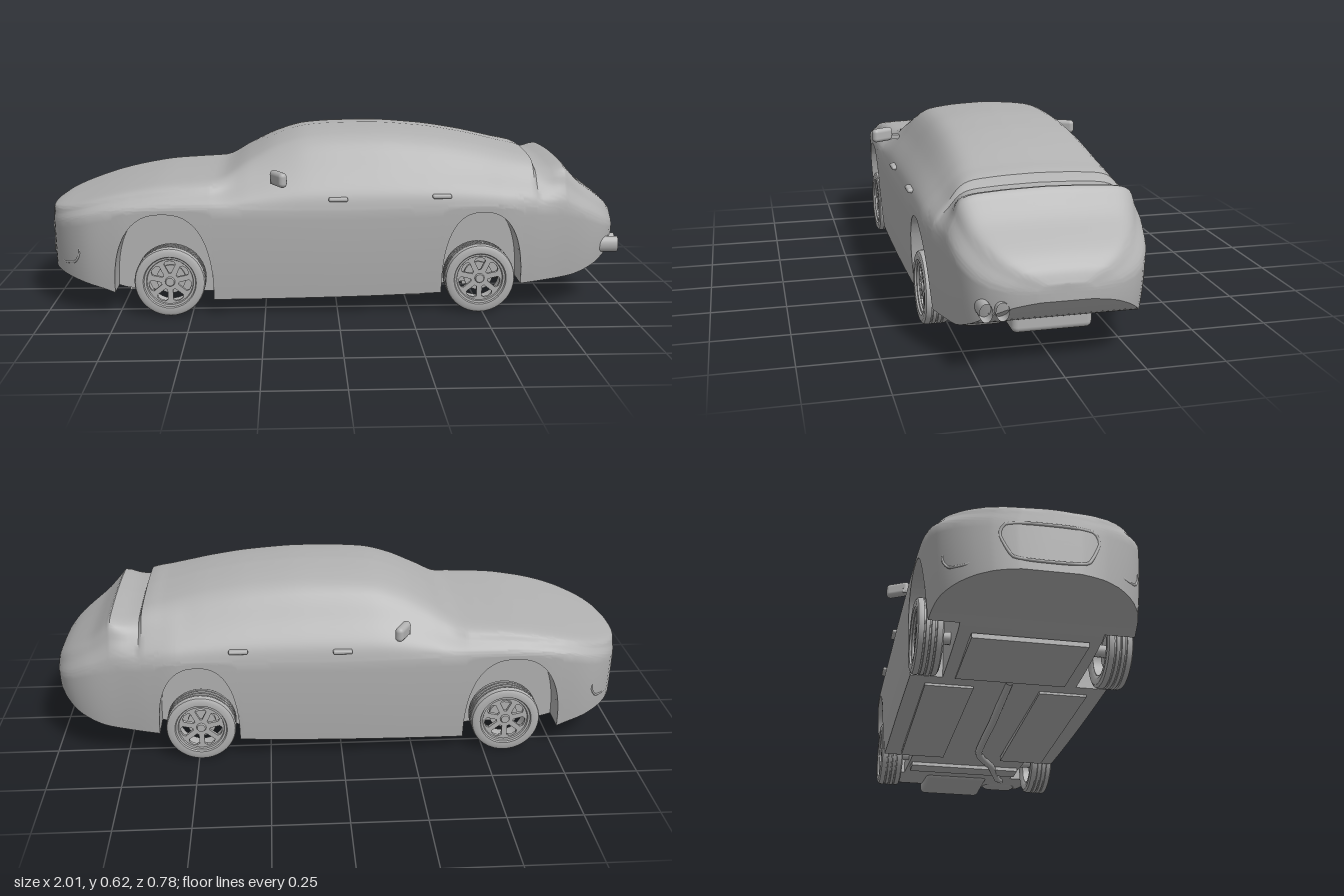
import * as THREE from 'three';
import { toCreasedNormals } from 'three/addons/utils/BufferGeometryUtils.js';
import { RoundedBoxGeometry } from 'three/addons/geometries/RoundedBoxGeometry.js';

const grey = new THREE.MeshStandardMaterial({ color: 0xb2b2b2, side: THREE.DoubleSide });
grey.name = 'primer grey';

const lerp = THREE.MathUtils.lerp;

// Smooth monotone interpolation through [x, value] pairs
function smooth(pts) {
  const d = pts.slice(1).map((p, i) => (p[1] - pts[i][1]) / (p[0] - pts[i][0]));
  const m = pts.map((p, i) => {
    if (i === 0) return d[0];
    if (i === pts.length - 1) return d[i - 1];
    return d[i - 1] * d[i] <= 0 ? 0 : (2 * d[i - 1] * d[i]) / (d[i - 1] + d[i]);
  });
  return (x) => {
    let i = 0;
    while (i < pts.length - 2 && x > pts[i + 1][0]) i++;
    const h = pts[i + 1][0] - pts[i][0];
    const t = THREE.MathUtils.clamp((x - pts[i][0]) / h, 0, 1);
    const t2 = t * t, t3 = t2 * t;
    return (2 * t3 - 3 * t2 + 1) * pts[i][1] + (t3 - 2 * t2 + t) * h * m[i]
      + (3 * t2 - 2 * t3) * pts[i + 1][1] + (t3 - t2) * h * m[i + 1];
  };
}

// Body lines along the length: nose at -x, tail at +x
const topY = smooth([[-1, 0.345], [-0.97, 0.36], [-0.9, 0.382], [-0.8, 0.41], [-0.7, 0.433], [-0.6, 0.45],
  [-0.5, 0.458], [-0.41, 0.466], [-0.3, 0.528], [-0.2, 0.58], [-0.1, 0.608], [0, 0.615], [0.12, 0.617],
  [0.3, 0.605], [0.45, 0.582], [0.6, 0.547], [0.675, 0.528], [0.685, 0.5], [0.72, 0.498], [0.78, 0.512],
  [0.795, 0.495], [0.85, 0.435], [0.9, 0.398], [0.95, 0.36], [0.985, 0.32], [1, 0.285]]);
const halfWidth = smooth([[-1, 0.09], [-0.993, 0.13], [-0.98, 0.175], [-0.95, 0.23], [-0.9, 0.282], [-0.85, 0.312],
  [-0.8, 0.325], [-0.7, 0.336], [-0.5, 0.34], [0, 0.345], [0.55, 0.345], [0.65, 0.332], [0.75, 0.312],
  [0.85, 0.291], [0.92, 0.257], [0.97, 0.2], [0.99, 0.14], [1, 0.08]]);
const beltY = smooth([[-1, 0.29], [-0.9, 0.325], [-0.75, 0.365], [-0.5, 0.372], [0, 0.365], [0.5, 0.375],
  [0.75, 0.36], [0.85, 0.335], [0.95, 0.285], [1, 0.262]]);
const crown = smooth([[-1, 0.85], [-0.6, 0.83], [-0.44, 0.8], [-0.34, 0.68], [-0.2, 0.62], [0, 0.62], [0.5, 0.62],
  [0.66, 0.68], [0.78, 0.82], [0.86, 0.78], [1, 0.7]]);
const baseY = smooth([[-1, 0.14], [-0.9, 0.12], [-0.8, 0.095], [-0.72, 0.07], [-0.43, 0.055], [0, 0.06],
  [0.36, 0.072], [0.63, 0.098], [0.8, 0.115], [0.9, 0.15], [0.96, 0.195], [1, 0.235]]);

const arches = [{ x: -0.592, w: 0.168 }, { x: 0.493, w: 0.138 }];
const ARCH_TOP = 0.357, ARCH_POWER = 2.5;

// Lower edge of the side panels, lifted over the wheels
function lowerY(x) {
  const b = baseY(x);
  for (const a of arches) {
    const t = Math.abs(x - a.x) / a.w;
    if (t < 1) return lerp(b, ARCH_TOP, (1 - t ** ARCH_POWER) ** (1 / ARCH_POWER));
  }
  return b;
}

// Cross-section stations, denser at the arches and the two ends
const stations = [];
for (let i = -49; i < 50; i++) stations.push(i * 0.02);
for (const e of [0, 0.002, 0.005, 0.01, 0.015]) stations.push(-1 + e, 1 - e);
stations.push(0.675, 0.68, 0.685, 0.785, 0.79, 0.795);
for (const a of arches) {
  for (let k = 0; k <= 32; k++) {
    const c = Math.cos((k / 32) * Math.PI);
    stations.push(a.x + a.w * Math.sign(c) * Math.abs(c) ** (2 / ARCH_POWER));
  }
}
stations.sort((a, b) => a - b);
const xs = stations.filter((x, i) => i === 0 || x - stations[i - 1] > 1e-5);

// Half profile [z, y] from the roof centre down to the lower edge
function halfSection(x) {
  const W = halfWidth(x), Y = topY(x), B = beltY(x), R = W * crown(x), low = lowerY(x), base = baseY(x);
  const edge = Y - 0.13 * (Y - B);
  const curve = new THREE.SplineCurve([[0, Y], [R * 0.6, lerp(Y, edge, 0.25)], [R, edge],
    [lerp(R, W, 0.52), lerp(edge, B, 0.42)], [lerp(R, W, 0.88), lerp(edge, B, 0.74)], [W, B]]
    .map((p) => new THREE.Vector2(...p)));
  const pts = curve.getPoints(25).map((p) => [p.x, p.y]);
  for (let k = 1; k <= 10; k++) {
    const y = lerp(B, low, k / 10);
    pts.push([W * (1 - 0.05 * ((B - y) / (B - base)) ** 2), y]);
  }
  return pts;
}

const mirrorZ = (pts) => pts.map(([z, y]) => [-z, y]);
const shellSection = (x) => {
  const h = halfSection(x);
  return [...h.slice().reverse(), ...mirrorZ(h.slice(1))];
};
// Floor and wheel housings
const floorSection = (x) => {
  const [z, y] = halfSection(x).at(-1);
  const inner = Math.min(0.22, z * 0.9), b = baseY(x);
  const h = [[z, y], [inner, y], [inner, b]];
  return [...mirrorZ(h), ...h.slice().reverse()];
};

// Skin a run of sections, closing each end onto the centre plane
function loft(section, crease) {
  const rows = xs.map((x) => section(x).map(([z, y]) => [x, y, z]));
  const flat = (row) => row.map(([x, y]) => [x, y, 0]);
  rows.unshift(flat(rows[0]));
  rows.push(flat(rows.at(-1)));
  const n = rows[0].length, index = [];
  for (let i = 0; i < rows.length - 1; i++) {
    for (let j = 0; j < n - 1; j++) {
      const a = i * n + j, b = a + n;
      index.push(a, b, a + 1, a + 1, b, b + 1);
    }
  }
  const g = new THREE.BufferGeometry();
  g.setAttribute('position', new THREE.Float32BufferAttribute(rows.flat(2), 3));
  g.setIndex(index);
  return toCreasedNormals(g, crease);
}

function add(parent, name, geometry, x = 0, y = 0, z = 0) {
  const mesh = new THREE.Mesh(geometry, grey);
  mesh.name = name;
  mesh.position.set(x, y, z);
  parent.add(mesh);
  return mesh;
}

function tube(points, r, closed = false) {
  const path = new THREE.CatmullRomCurve3(points.map((p) => new THREE.Vector3(...p)), closed, 'catmullrom', 0.3);
  return new THREE.TubeGeometry(path, 48, r, 8, closed);
}

// Wheel facing +z: grooved tyre, pierced rim, hub and brake disc
function makeWheel() {
  const wheel = new THREE.Group();
  wheel.name = 'wheel';
  const profile = [[0.08, -0.034], [0.088, -0.04], [0.108, -0.042], [0.117, -0.037], [0.12, -0.03]];
  for (const g of [-0.017, 0, 0.017]) profile.push([0.12, g - 0.003], [0.115, g - 0.002], [0.115, g + 0.002], [0.12, g + 0.003]);
  profile.push([0.12, 0.03], [0.117, 0.037], [0.108, 0.042], [0.09, 0.041], [0.087, 0.035], [0.08, 0.034], [0.077, 0.026], [0.077, -0.034], [0.08, -0.034]);
  const tyre = new THREE.LatheGeometry(profile.map((p) => new THREE.Vector2(...p)), 40);
  add(wheel, 'tyre', toCreasedNormals(tyre.rotateX(Math.PI / 2), 0.6));

  const disc = new THREE.Shape().absarc(0, 0, 0.081, 0, Math.PI * 2);
  for (let k = 0; k < 7; k++) {
    const a = (k / 7) * Math.PI * 2 + Math.PI / 2;
    const at = (r, o) => new THREE.Vector2(r * Math.cos(a + o), r * Math.sin(a + o));
    disc.holes.push(new THREE.Path([at(0.03, -0.13), at(0.03, 0.13), at(0.064, 0.31), at(0.071, 0.2), at(0.073, 0),
      at(0.071, -0.2), at(0.064, -0.31)]));
  }
  add(wheel, 'rim', new THREE.ExtrudeGeometry(disc, { depth: 0.012, bevelEnabled: false, curveSegments: 20 }), 0, 0, 0.016);
  add(wheel, 'hub', new THREE.CylinderGeometry(0.014, 0.018, 0.008, 16).rotateX(Math.PI / 2), 0, 0, 0.03);
  add(wheel, 'brakeDisc', new THREE.CylinderGeometry(0.05, 0.05, 0.012, 24).rotateX(Math.PI / 2), 0, 0, -0.01);
  add(wheel, 'axleStub', new THREE.CylinderGeometry(0.02, 0.02, 0.08, 12).rotateX(Math.PI / 2), 0, 0, -0.045);
  return wheel;
}

export function createModel() {
  const car = new THREE.Group();
  car.name = 'car';
  add(car, 'bodyShell', loft(shellSection, 0.6));
  add(car, 'underbody', loft(floorSection, 0.5));

  // Nose trim follows the rounded front
  const noseX = (z) => xs.find((x) => halfWidth(x) * 0.98 >= Math.abs(z)) ?? -1;
  const onNose = ([z, y]) => [noseX(z) - 0.001, y, z];
  add(car, 'grilleFrame', tube([[-0.13, 0.285], [-0.06, 0.29], [0.06, 0.29], [0.13, 0.285], [0.145, 0.25], [0.11, 0.18],
    [0.05, 0.17], [-0.05, 0.17], [-0.11, 0.18], [-0.145, 0.25]].map(onNose), 0.005, true));

  for (const s of [1, -1]) {
    const side = s > 0 ? 'left' : 'right';
    add(car, side + 'IntakeFrame', tube([[0.19, 0.255], [0.24, 0.258], [0.285, 0.25], [0.29, 0.21], [0.275, 0.18],
      [0.23, 0.172], [0.19, 0.19]].map(([z, y]) => onNose([s * z, y])), 0.004, true));

    for (const [name, x] of [['Front', -0.572], ['Rear', 0.488]]) {
      const wheel = makeWheel();
      wheel.name = side + name + 'Wheel';
      wheel.position.set(x, 0.12, s * 0.295);
      if (s < 0) wheel.rotation.y = Math.PI;
      car.add(wheel);
    }

    // Door mirrors and handles
    const housing = add(car, side + 'Mirror', new RoundedBoxGeometry(0.03, 0.05, 0.085, 4, 0.0145), -0.2, 0.48, s * 0.352);
    housing.rotation.y = s * 0.5;
    add(car, side + 'MirrorArm', new THREE.BoxGeometry(0.025, 0.016, 0.05), -0.215, 0.468, s * 0.312);
    for (const [name, x, y] of [['Front', 0, 0.405], ['Rear', 0.35, 0.413]]) {
      add(car, side + name + 'Handle', new RoundedBoxGeometry(0.065, 0.014, 0.022, 2, 0.006), x, y, s * 0.34);
    }

    // Floor trays beside the tunnel
    add(car, side + 'FloorTray', new THREE.BoxGeometry(0.66, 0.016, 0.16), -0.04, 0.055, s * 0.19);
  }

  // Running gear under the floor
  add(car, 'engineTray', new THREE.BoxGeometry(0.3, 0.016, 0.36), -0.58, 0.058);
  add(car, 'rearCrossMember', new THREE.BoxGeometry(0.07, 0.03, 0.42), 0.48, 0.08);
  add(car, 'spareWheelWell', new RoundedBoxGeometry(0.22, 0.1, 0.25, 3, 0.02), 0.76, 0.14);
  add(car, 'exhaustPipe', tube([[-0.42, 0.06, 0], [-0.1, 0.055, 0.01], [0.25, 0.06, 0.02], [0.42, 0.07, 0.1],
    [0.6, 0.085, 0.16], [0.72, 0.12, 0.2]], 0.014));
  add(car, 'muffler', new THREE.CapsuleGeometry(0.035, 0.08, 6, 16).rotateX(Math.PI / 2).scale(1.6, 1, 1), 0.78, 0.135, 0.2);
  add(car, 'tailPipe', tube([[0.82, 0.14, 0.2], [0.9, 0.165, 0.205], [0.95, 0.205, 0.205]], 0.014));
  for (const z of [0.182, 0.23]) {
    const tip = add(car, 'exhaustTip', new THREE.CylinderGeometry(0.02, 0.02, 0.065, 20, 1, true).rotateZ(Math.PI / 2), 0.955, 0.212, z);
    tip.scale.y = 1.4;
  }
  return car;
}
